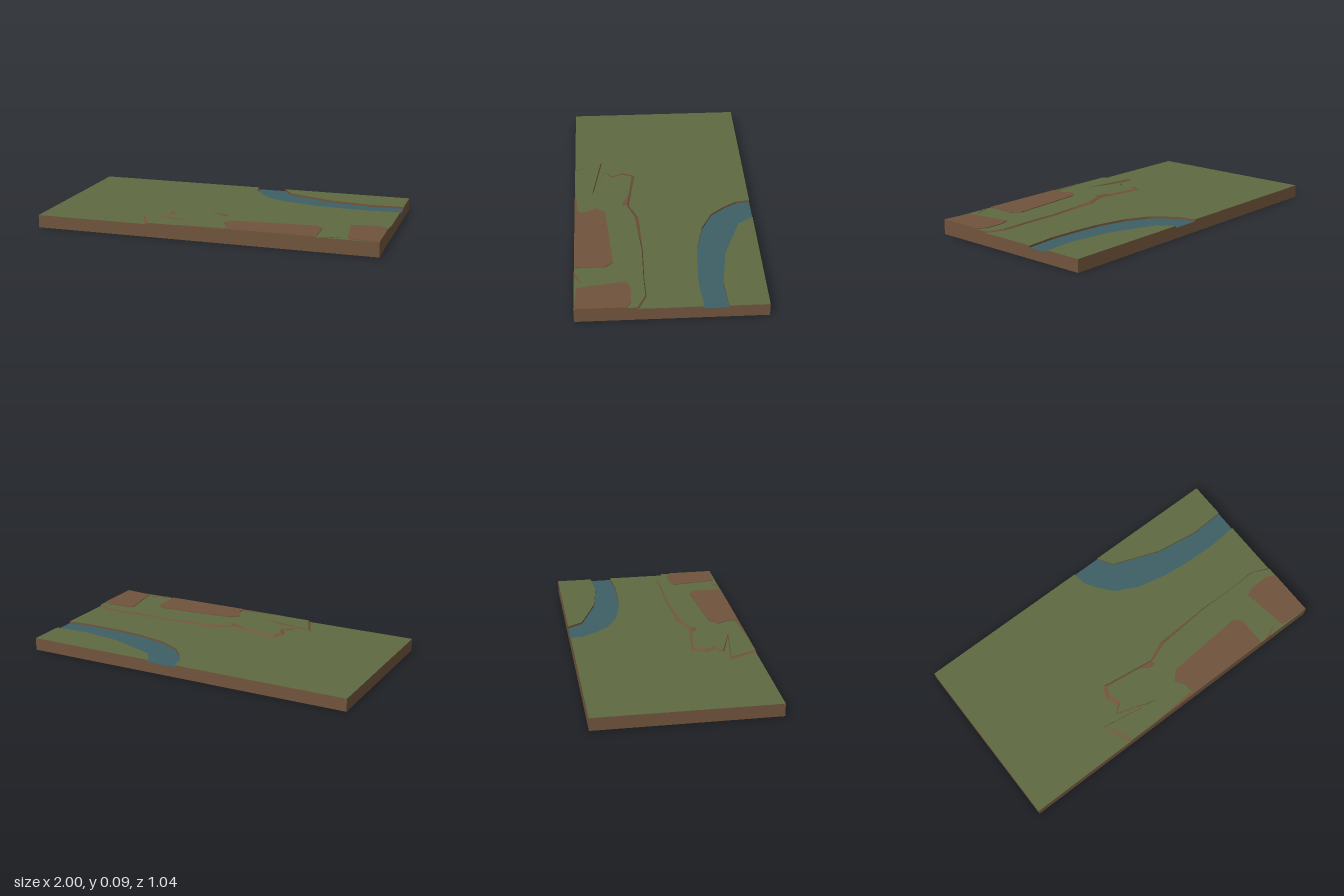
import * as THREE from 'three';

const W = 1, D = 0.52;
const BED = 0.062, GROUND = 0.074, TERRACE = 0.083, FIELD = 0.087;

const material = (name, color) => {
  const m = new THREE.MeshStandardMaterial({ color });
  m.name = name;
  return m;
};

// Plan outline given as [x, z] pairs
const planShape = (pts) => new THREE.Shape(pts.map(([x, z]) => new THREE.Vector2(x, -z)));

// Flat-topped slab between two heights
function slab(pts, y0, y1) {
  const g = new THREE.ExtrudeGeometry(planShape(pts), { depth: y1 - y0, bevelEnabled: false });
  return g.rotateX(-Math.PI / 2).translate(0, y0, 0);
}

// Sloping wall joining a lower outline to an upper outline
function slope(lower, upper, y0, y1) {
  const pos = [];
  lower.forEach((p, i) => {
    const j = (i + 1) % lower.length;
    const a0 = [p[0], y0, p[1]], b0 = [lower[j][0], y0, lower[j][1]];
    const a1 = [upper[i][0], y1, upper[i][1]], b1 = [upper[j][0], y1, upper[j][1]];
    pos.push(...b0, ...a0, ...a1, ...b0, ...a1, ...b1);
  });
  const g = new THREE.BufferGeometry();
  g.setAttribute('position', new THREE.Float32BufferAttribute(pos, 3));
  g.computeVertexNormals();
  return g;
}

export function createModel() {
  const group = new THREE.Group();
  const grass = material('grass', 0x5e6a41);
  const soil = material('soil', 0x70543c);
  const water = material('water', 0x3d6065);
  const add = (name, geometry, mat) => {
    const mesh = new THREE.Mesh(geometry, mat);
    mesh.name = name;
    group.add(mesh);
  };

  // Soil base
  const base = new THREE.BoxGeometry(2 * W, BED - 0.002, 2 * D);
  add('soilBase', base.translate(0, (BED - 0.002) / 2, 0), soil);

  // River banks
  const southBank = [[0.04, -D], [0.05, -0.44], [0.1, -0.36], [0.17, -0.28], [0.3, -0.215],
    [0.48, -0.175], [0.65, -0.16], [0.82, -0.155], [W, -0.17]];
  const northBank = [[0.21, -D], [0.27, -0.43], [0.4, -0.38], [0.55, -0.325], [0.8, -0.29], [W, -0.3]];

  // Sunken river and the land on both sides of it
  add('river', slab([...southBank, ...[...northBank].reverse()], BED - 0.003, BED), water);
  add('mainLand', slab([[-W, -D], ...southBank, [W, D], [-W, D]], BED - 0.002, GROUND), [grass, soil]);
  add('cornerLand', slab([...northBank, [W, -D]], BED - 0.002, GROUND), [grass, soil]);

  // Raised terrace: foot and rim outlines, with a gully between its two spurs
  const foot = [[-0.41, 0.355], [-0.08, 0.41], [-0.305, 0.34], [-0.26, 0.295], [-0.295, 0.23],
    [-0.26, 0.155], [0.06, 0.2], [0.18, 0.147], [0.5, 0.135], [0.75, 0.138], [0.9, 0.132],
    [W, 0.175], [W, D], [-0.34, D]];
  const rim = [[-0.395, 0.362], [-0.06, 0.416], [-0.295, 0.335], [-0.235, 0.295], [-0.265, 0.23],
    [-0.24, 0.172], [0.07, 0.212], [0.19, 0.168], [0.5, 0.141], [0.75, 0.142], [0.9, 0.138],
    [W, 0.185], [W, D], [-0.32, D]];
  add('terraceSlope', slope(foot, rim, GROUND, TERRACE), soil);
  const cap = new THREE.ShapeGeometry(planShape(rim));
  add('terraceTop', cap.rotateX(-Math.PI / 2).translate(0, TERRACE, 0), grass);

  // Bare earth fields and worn edges on the terrace
  add('largeField', slab([[0.14, 0.34], [0.61, 0.305], [0.65, 0.345], [0.65, D], [0.13, D],
    [0.125, 0.45], [0.09, 0.39]], TERRACE, FIELD), soil);
  add('cornerField', slab([[0.785, 0.235], [0.84, 0.215], [0.95, 0.215], [W, 0.24], [W, D],
    [0.825, 0.505]], TERRACE, FIELD), soil);
  add('frontWornEdge', slab([[-0.16, D], [0.12, 0.5], [0.13, D]], TERRACE, TERRACE + 0.002), soil);
  add('fieldWornEdge', slab([[0.68, D], [0.79, 0.475], [0.72, D]], TERRACE, TERRACE + 0.002), soil);
  add('rimWornPatch', slab([[-0.03, 0.203], [0.06, 0.213], [0.065, 0.235], [0.04, 0.24]],
    TERRACE, TERRACE + 0.002), soil);

  return group;
}
